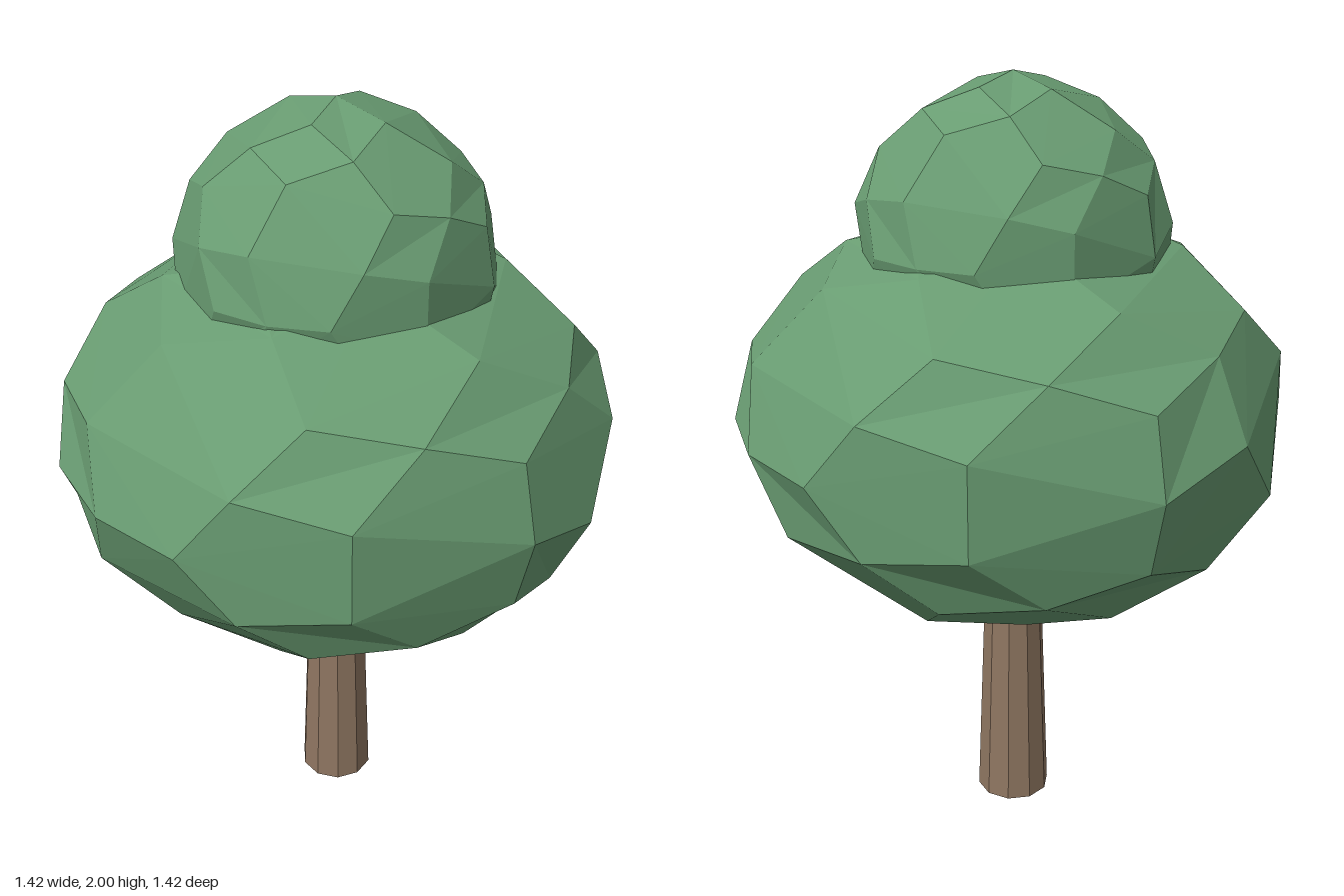
import * as THREE from 'three';

export function createModel() {
  const tree = new THREE.Group();
  tree.name = 'tree';

  const bark = new THREE.MeshStandardMaterial({ color: 0x8f7661, flatShading: true });
  bark.name = 'bark brown';
  const leaf = new THREE.MeshStandardMaterial({ color: 0x699c72, flatShading: true });
  leaf.name = 'leaf green';

  // Tapered ten-sided trunk, its top hidden inside the crown
  const trunk = new THREE.Mesh(new THREE.CylinderGeometry(0.075, 0.1, 0.72, 10), bark);
  trunk.name = 'trunk';
  trunk.position.y = 0.36;
  tree.add(trunk);

  // Faceted foliage ball, squashed in height and turned about y
  function foliage(name, radius, halfHeight, y, turn) {
    const ball = new THREE.Mesh(new THREE.DodecahedronGeometry(radius, 1), leaf);
    ball.name = name;
    ball.scale.y = halfHeight / radius;
    ball.position.y = y;
    ball.rotation.y = turn;
    tree.add(ball);
  }
  foliage('lowerCrown', 0.712, 0.535, 1.152, 0);
  foliage('upperCrown', 0.397, 0.4, 1.6, 0.5);

  return tree;
}
